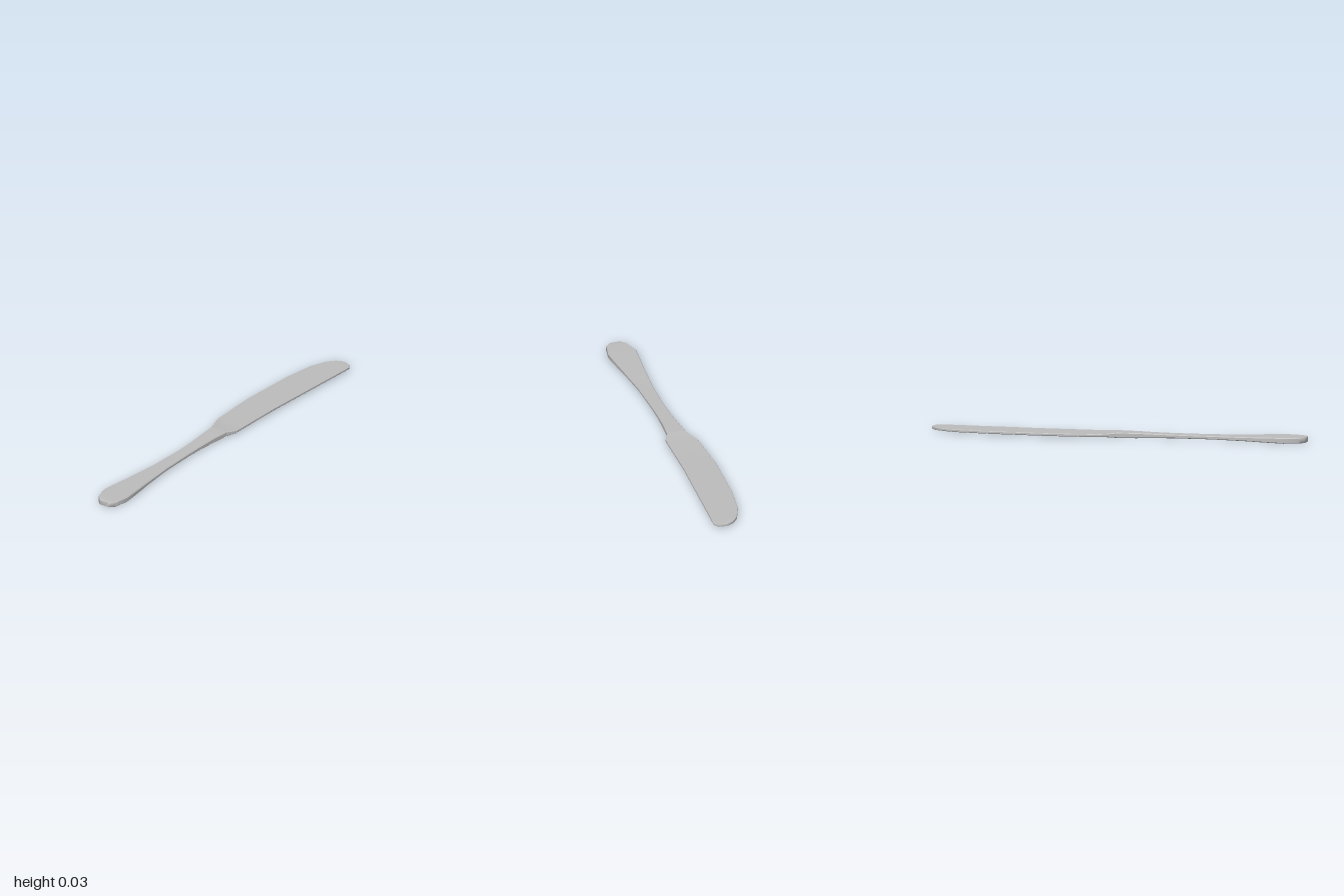
import * as THREE from 'three';
import { toCreasedNormals } from 'three/addons/utils/BufferGeometryUtils.js';

const MID = 0.0148; // height of the knife's centre plane

// Bevelled eight-sided section: stations are [z, left edge, right edge, half thickness]
function section([z, x0, x1, h]) {
  const b = Math.min(0.004, h * 0.4);
  return [
    [x1, -h + b], [x1, h - b], [x1 - b, h], [x0 + b, h],
    [x0, h - b], [x0, -h + b], [x0 + b, -h], [x1 - b, -h],
  ].map(([x, y]) => [x, MID + y, z]);
}

// Skin the stations, ordered from +z to -z, and close the chosen ends
function loft(stations, capFront, capBack) {
  const rings = stations.map(section);
  const pos = [];
  const tri = (a, b, c) => pos.push(...a, ...b, ...c);
  for (let i = 0; i < rings.length - 1; i++) {
    for (let j = 0; j < 8; j++) {
      const k = (j + 1) % 8;
      const a = rings[i][j], b = rings[i][k], c = rings[i + 1][k], d = rings[i + 1][j];
      tri(a, d, c);
      tri(a, c, b);
    }
  }
  const first = rings[0], last = rings[rings.length - 1];
  for (let j = 1; j < 7; j++) {
    if (capFront) tri(first[0], first[j], first[j + 1]);
    if (capBack) tri(last[0], last[j + 1], last[j]);
  }
  const g = new THREE.BufferGeometry();
  g.setAttribute('position', new THREE.Float32BufferAttribute(pos, 3));
  return toCreasedNormals(g, 0.7);
}

export function createModel() {
  const steel = new THREE.MeshStandardMaterial({ color: 0xbdbdbd });
  steel.name = 'brushed steel';
  const knife = new THREE.Group();
  knife.name = 'tableKnife';

  // Handle: broad rounded butt, slim waist, thicker collar
  const handle = new THREE.Mesh(loft([
    [1.0, -0.032, 0.022, 0.0125],
    [0.995, -0.04, 0.028, 0.0145],
    [0.97, -0.065, 0.05, 0.0148],
    [0.89, -0.088, 0.065, 0.0148],
    [0.82, -0.081, 0.059, 0.0138],
    [0.68, -0.067, 0.044, 0.0105],
    [0.5, -0.051, 0.028, 0.0085],
    [0.3, -0.045, 0.024, 0.0095],
    [0.2, -0.047, 0.025, 0.011],
    [0.1, -0.053, 0.03, 0.0138],
    [0.0, -0.06, 0.039, 0.0138],
  ], true, false), steel);
  handle.name = 'handle';

  // Blade: curved cutting edge on one side, nearly straight back on the other
  const blade = new THREE.Mesh(loft([
    [0.0, -0.06, 0.039, 0.0138],
    [-0.05, -0.078, 0.064, 0.009],
    [-0.1, -0.096, 0.066, 0.0075],
    [-0.365, -0.107, 0.071, 0.0072],
    [-0.685, -0.09, 0.09, 0.007],
    [-0.855, -0.064, 0.1, 0.007],
    [-0.94, -0.031, 0.105, 0.007],
    [-0.968, -0.011, 0.107, 0.007],
    [-0.985, 0.008, 0.096, 0.0065],
    [-0.996, 0.028, 0.077, 0.006],
    [-1.0, 0.042, 0.062, 0.005],
  ], false, true), steel);
  blade.name = 'blade';

  knife.add(handle, blade);
  return knife;
}
